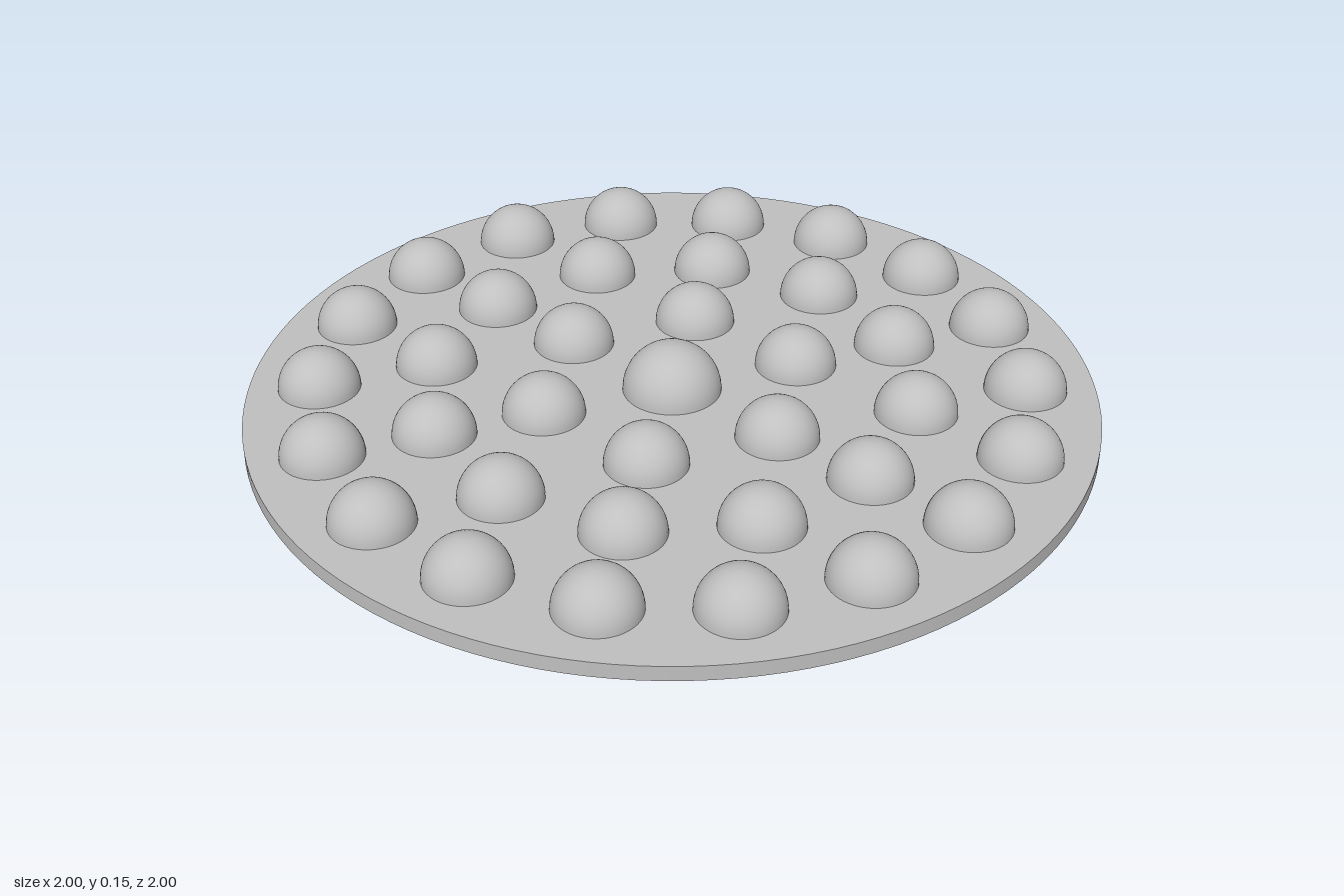
import * as THREE from 'three';

const PLATE = 0.037;            // plate thickness, also the height of every dome centre
const WALL = 0.0235;            // dome shell thickness
const SEG = 48;

export function createModel() {
  const model = new THREE.Group();
  model.name = 'domedDisc';
  const grey = new THREE.MeshStandardMaterial({ color: 0xc0c0c0 });
  grey.name = 'plain grey';

  const add = (geometry, name, parent = model) => {
    const mesh = new THREE.Mesh(geometry, grey);
    mesh.name = name;
    parent.add(mesh);
    return mesh;
  };

  // Dome layout: one larger centre dome, then rings of 6, 12 and 18
  const domes = [{ x: 0, z: 0, r: 0.117 }];
  [[6, 0.315], [12, 0.575], [18, 0.833]].forEach(([count, radius]) => {
    for (let i = 0; i < count; i++) {
      const a = (i / count) * Math.PI * 2;
      domes.push({ x: radius * Math.sin(a), z: radius * Math.cos(a), r: 0.0975 });
    }
  });

  // Round plate face with one opening under each dome
  const face = (openingRadius) => {
    const rim = [];
    for (let i = 0; i < 128; i++) {
      const a = (i / 128) * Math.PI * 2;
      rim.push(new THREE.Vector2(Math.cos(a), Math.sin(a)));
    }
    const shape = new THREE.Shape(rim);
    domes.forEach(({ x, z, r }) => {
      const hole = new THREE.Path();
      hole.absarc(x, -z, openingRadius(r), 0, Math.PI * 2, true);
      shape.holes.push(hole);
    });
    return new THREE.ShapeGeometry(shape, SEG / 2);
  };
  const mouth = (r) => Math.sqrt((r - WALL) ** 2 - PLATE ** 2);
  add(face((r) => r).rotateX(-Math.PI / 2).translate(0, PLATE, 0), 'plateTop');
  add(face(mouth).rotateX(Math.PI / 2), 'plateBottom');
  add(new THREE.CylinderGeometry(1, 1, PLATE, 128, 1, true).translate(0, PLATE / 2, 0), 'plateRim');

  // Arc of a sphere revolved between two elevation angles
  const cap = (r, from, to, steps) => {
    const points = [];
    for (let i = 0; i <= steps; i++) {
      const a = from + ((to - from) * i) / steps;
      points.push(new THREE.Vector2(Math.max(0, r * Math.cos(a)), PLATE + r * Math.sin(a)));
    }
    return new THREE.LatheGeometry(points, SEG);
  };

  // Outer dome and the spherical hollow that opens through the plate bottom
  domes.forEach(({ x, z, r }, i) => {
    const dome = new THREE.Group();
    dome.name = i === 0 ? 'centreDome' : 'dome' + i;
    const inner = r - WALL;
    add(cap(r, 0, Math.PI / 2, 14), 'domeShell', dome);
    add(cap(inner, Math.PI / 2, -Math.asin(PLATE / inner), 18), 'domeHollow', dome);
    dome.position.set(x, 0, z);
    model.add(dome);
  });

  return model;
}
